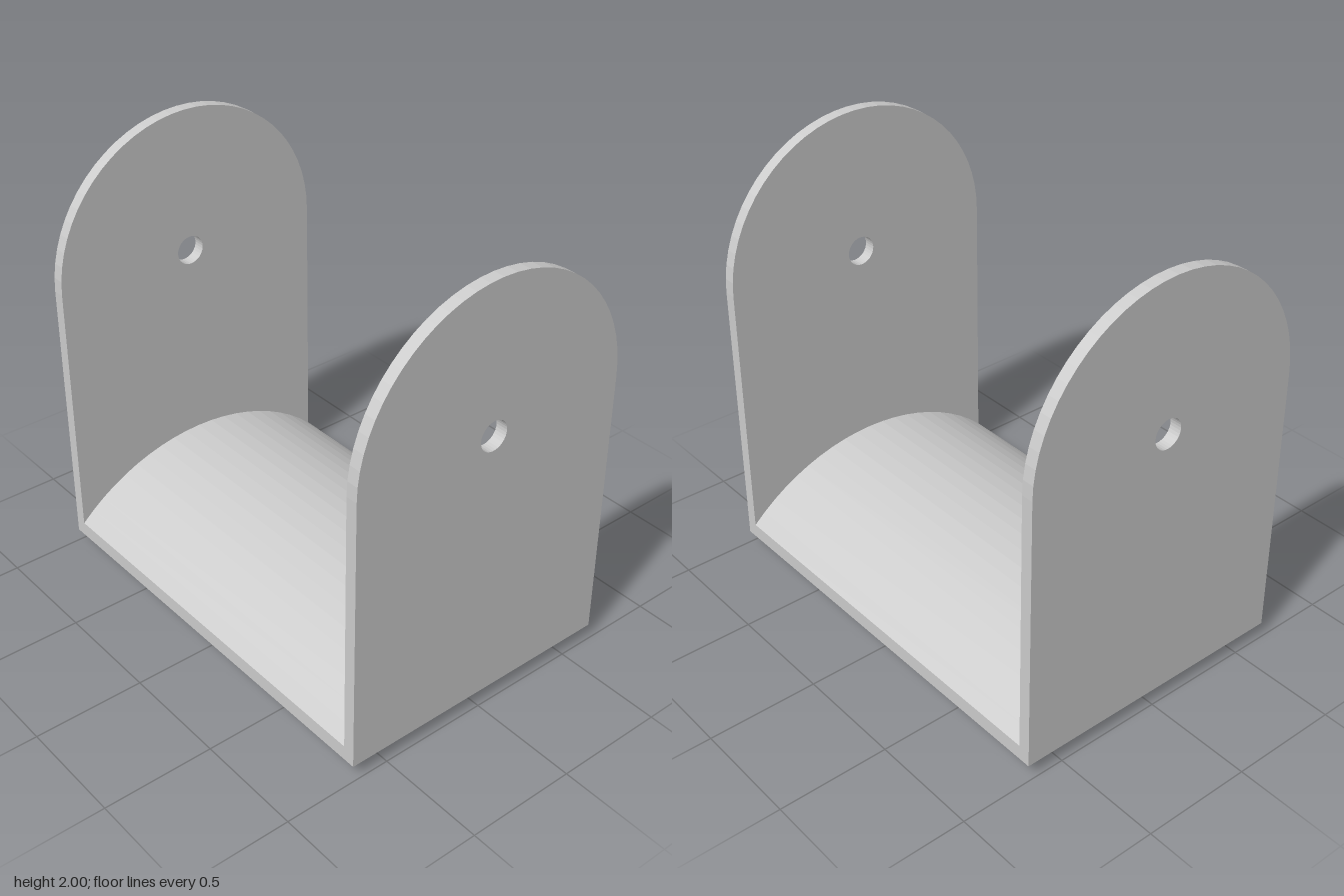
import * as THREE from 'three';

const material = new THREE.MeshStandardMaterial({ color: 0xcccccc, flatShading: true });
const HALF_X = 0.99, HALF_Z = 0.667, WALL = 0.055;
const PLATE_Y = 0.067, PLATE_TOP = 0.135, PIVOT_Y = 1.333;

function extrude(shape, depth, curveSegments) {
  return new THREE.ExtrudeGeometry(shape, { depth, curveSegments, bevelEnabled: false });
}

function addHole(shape, x, y, radius) {
  shape.holes.push(new THREE.Path().absarc(x, y, radius, 0, Math.PI * 2, true));
}

export function createModel() {
  const group = new THREE.Group();
  const add = (name, geometry) => {
    const mesh = new THREE.Mesh(geometry, material);
    mesh.name = name;
    group.add(mesh);
  };

  // Round-topped side walls with a pivot hole
  const wall = new THREE.Shape();
  wall.moveTo(-HALF_Z, PLATE_Y);
  wall.lineTo(HALF_Z, PLATE_Y);
  wall.absarc(0, PIVOT_Y, HALF_Z, 0, Math.PI, false);
  wall.closePath();
  addHole(wall, 0, PIVOT_Y, 0.067);
  for (const [name, x] of [['leftWall', HALF_X - WALL], ['rightWall', -HALF_X]]) {
    add(name, extrude(wall, WALL, 16).rotateY(Math.PI / 2).translate(x, 0, 0));
  }

  // Base plate with the screw hole in its middle
  const innerX = HALF_X - WALL;
  const plate = new THREE.Shape();
  plate.moveTo(-innerX, -HALF_Z);
  plate.lineTo(innerX, -HALF_Z);
  plate.lineTo(innerX, HALF_Z);
  plate.lineTo(-innerX, HALF_Z);
  plate.closePath();
  addHole(plate, 0, 0, 0.06);
  add('basePlate', extrude(plate, PLATE_TOP - PLATE_Y, 16)
    .rotateX(-Math.PI / 2).translate(0, PLATE_Y, 0));

  // Round foot below the plate
  const foot = new THREE.Shape().absarc(0, 0, 0.467, 0, Math.PI * 2, false);
  addHole(foot, 0, 0, 0.06);
  add('roundFoot', extrude(foot, PLATE_Y, 32).rotateX(-Math.PI / 2));

  // Arched floor between the walls
  const rise = 0.265;
  const radius = (HALF_Z ** 2 + rise ** 2) / (2 * rise);
  const half = Math.asin(HALF_Z / radius);
  const arch = new THREE.Shape();
  arch.absarc(0, PLATE_TOP + rise - radius, radius, Math.PI / 2 - half, Math.PI / 2 + half, false);
  arch.closePath();
  add('archedFloor', extrude(arch, innerX * 2, 10)
    .rotateY(Math.PI / 2).translate(-innerX, 0, 0));

  return group;
}
